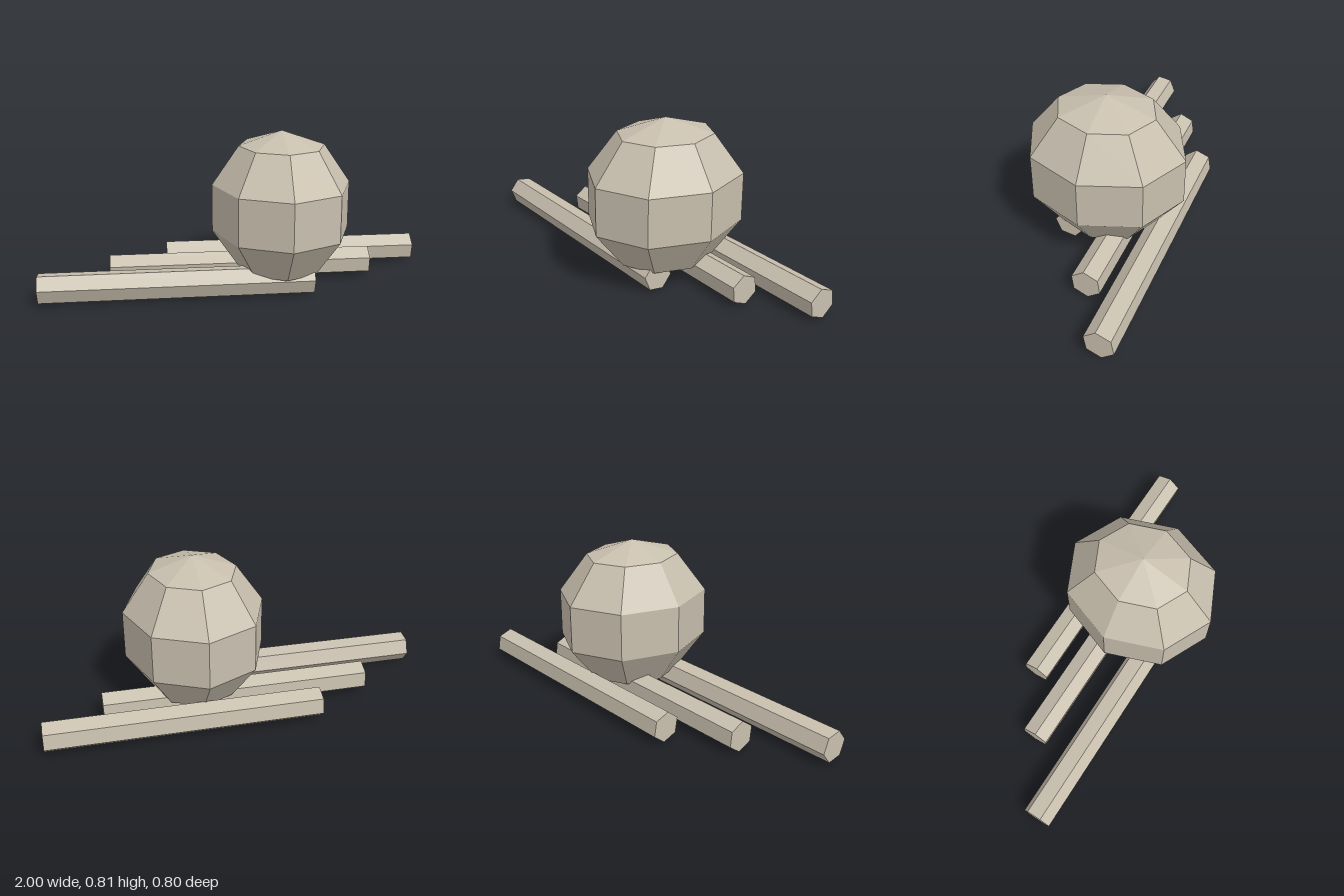
import * as THREE from 'three';

const stone = new THREE.MeshStandardMaterial({ color: 0xc8bfae, flatShading: true });
stone.name = 'stone';

// Hexagonal bar lying along x; roll is the angle of its first corner from +z towards +y, in degrees
function makeBar(name, x, z, roll) {
  const geometry = new THREE.CylinderGeometry(0.077, 0.077, 1.364, 6, 1, false, -THREE.MathUtils.degToRad(roll));
  geometry.rotateZ(-Math.PI / 2);
  const bar = new THREE.Mesh(geometry, stone);
  bar.name = name;
  bar.position.set(x, 0.079, z);
  return bar;
}

export function createModel() {
  const group = new THREE.Group();
  group.name = 'boulderOnBars';

  // Faceted boulder, slightly narrower across x
  const boulder = new THREE.Mesh(new THREE.SphereGeometry(1, 8, 5), stone);
  boulder.name = 'boulder';
  boulder.scale.set(0.369, 0.39, 0.42);
  boulder.position.set(0.217, 0.42, 0);
  group.add(boulder);

  // Three staggered bars, each rolled a little differently
  group.add(
    makeBar('frontBar', -0.318, 0.147, 8.2),
    makeBar('middleBar', 0.023, -0.097, 23.3),
    makeBar('backBar', 0.318, -0.293, 20.3)
  );
  return group;
}
